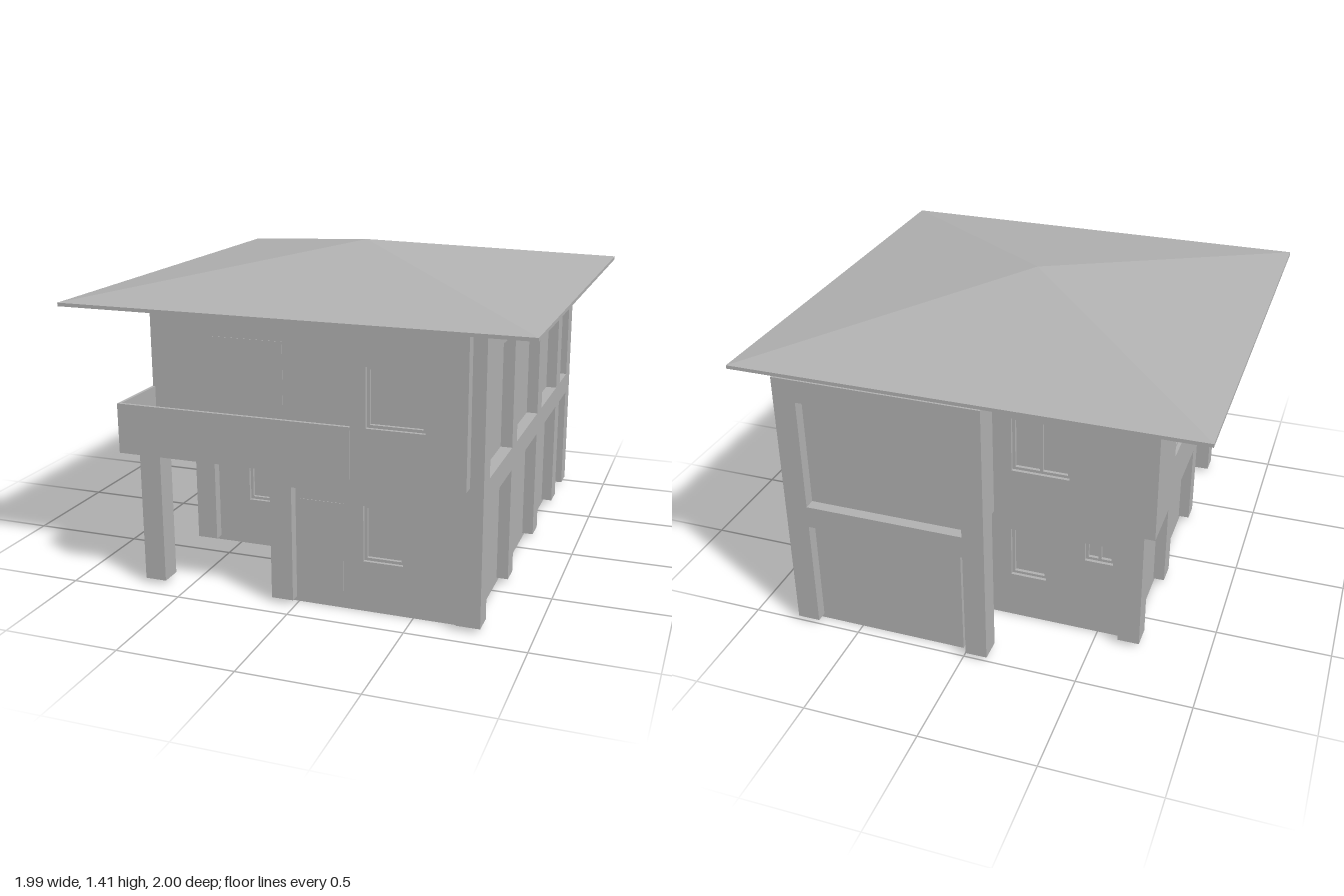
import * as THREE from 'three';

export function createModel() {
  const house = new THREE.Group();
  house.name = 'house';
  const plaster = new THREE.MeshStandardMaterial({ color: 0xb0b0b0 });
  plaster.name = 'grey plaster';

  function add(geometry, name, parent = house) {
    const mesh = new THREE.Mesh(geometry, plaster);
    mesh.name = name;
    parent.add(mesh);
    return mesh;
  }

  // Box given by its limits on each axis
  function box(name, x0, x1, y0, y1, z0, z1, parent = house) {
    const mesh = add(new THREE.BoxGeometry(x1 - x0, y1 - y0, z1 - z0), name, parent);
    mesh.position.set((x0 + x1) / 2, (y0 + y1) / 2, (z0 + z1) / 2);
    return mesh;
  }

  // Outer wall with recessed windows; u runs along the wall, outer face at local z = 0
  const T = 0.03;
  function wall(name, u0, u1, y0, y1, windows) {
    const group = new THREE.Group();
    group.name = name;
    const rect = (Type, a, b, c, d) => new Type([
      new THREE.Vector2(a, c), new THREE.Vector2(b, c), new THREE.Vector2(b, d), new THREE.Vector2(a, d)]);
    const shape = rect(THREE.Shape, u0, u1, y0, y1);
    for (const [a, b, c, d, panes = 1] of windows) {
      shape.holes.push(rect(THREE.Path, a, b, c, d));
      const f = 0.012;
      // Sash: outer frame and mullions
      box('windowSill', a, b, c, c + f, -T, -0.015, group);
      box('windowHead', a, b, d - f, d, -T, -0.015, group);
      for (let i = 0; i <= panes; i++) {
        const u = a + f / 2 + (b - a - f) * i / panes;
        box('windowBar', u - f / 2, u + f / 2, c, d, -T, -0.015, group);
      }
    }
    const geometry = new THREE.ExtrudeGeometry(shape, { depth: T, bevelEnabled: false });
    geometry.translate(0, 0, -T);
    add(geometry, 'wallPanel', group);
    house.add(group);
    return group;
  }
  const frontWall = (name, z, x0, x1, y0, y1, windows) => {
    wall(name, x0, x1, y0, y1, windows).position.z = z;
  };
  const backWall = (name, z, x0, x1, y0, y1, windows) => {
    const g = wall(name, -x1, -x0, y0, y1, windows.map(([a, b, ...r]) => [-b, -a, ...r]));
    g.rotation.y = Math.PI;
    g.position.z = z;
  };
  const leftWall = (name, x, z0, z1, y0, y1, windows) => {
    const g = wall(name, z0, z1, y0, y1, windows);
    g.rotation.y = -Math.PI / 2;
    g.position.x = x;
  };

  const F = 0.605, E = 1.22, TOP = 1.235;

  // Ground floor rooms
  box('groundSideRoom', -0.65 + T, 0.02, 0, F, -0.66 + T, 0.365 - T);
  box('groundMainRoom', -0.055, 0.74, 0, F, -0.6, 0.865 - T);
  box('groundRearRoom', 0.02, 0.74, 0, F, -0.95, -0.5);
  frontWall('groundFrontWall', 0.865, -0.055, 0.74, 0, F, [[0.285, 0.455, 0.22, 0.46]]);
  frontWall('porchWall', 0.365, -0.65, -0.055, 0, F, [[-0.45, -0.2, 0.22, 0.46, 2]]);
  backWall('groundBackWall', -0.66, -0.65, 0.02, 0, F,
    [[-0.26, -0.1, 0.22, 0.46], [-0.56, -0.435, 0.37, 0.46, 2]]);
  leftWall('groundLeftWall', -0.65, -0.66, 0.365, 0, F, [[-0.04, 0.11, 0.22, 0.46]]);
  box('frontDoor', 0.01, 0.2, 0.01, 0.46, 0.86, 0.867);

  // Upper floor rooms
  box('upperSideRoom', -0.755 + T, -0.05, F, TOP, -0.755 + T, 0.675);
  box('upperMainRoom', -0.05, 0.74, F, TOP, -0.755, 0.79);
  box('upperRearRoom', -0.06 + T, 0.74, F, TOP, -0.95, -0.7);
  box('upperFrontRoom', 0.265, 0.735, F, TOP, 0.7, 0.965 - T);
  frontWall('upperFrontWall', 0.965, 0.265, 0.735, F, TOP, [[0.33, 0.57, 0.82, 1.065]]);
  backWall('upperBackWall', -0.755, -0.755, -0.05, F, TOP, [[-0.39, -0.14, 0.82, 1.065, 2]]);
  leftWall('upperLeftWall', -0.755, -0.755, 0.675, F, TOP,
    [[-0.44, -0.3, 0.82, 1.065], [-0.05, 0.11, 0.82, 1.065], [0.455, 0.62, 0.82, 1.065]]);
  leftWall('rearReturnWall', -0.06, -0.95, -0.74, F, TOP, [[-0.85, -0.79, 0.98, 1.08]]);
  box('balconyDoor', -0.46, -0.14, 0.63, 1.065, 0.67, 0.677);

  // Balcony floor and parapet
  box('balconyFloor', -0.755, 0.265, F, 0.625, 0.6, 0.965);
  box('balconyParapetFront', -0.76, 0.265, F, 0.82, 0.955, 0.97);
  box('balconyParapetLeft', -0.76, -0.745, F, 0.82, 0.67, 0.97);

  // Structural frame: rows of columns front to back
  const rows = [[0.815, 0.91], [0.32, 0.41], [-0.23, -0.13], [-0.71, -0.61], [-1, -0.9]];
  rows.forEach(([z0, z1], i) => {
    box('rightColumn', 0.69, 0.79, 0.02, E, z0, z1);
    if (i < 4) box('leftColumn', -0.7, -0.605, 0.02, F, z0, z1);
  });
  box('frontMiddleColumn', -0.105, -0.01, 0.02, F, 0.815, 0.91);
  box('porchMiddleColumn', -0.105, -0.01, 0.02, F, 0.32, 0.41);
  box('rearMiddleColumn', -0.105, -0.01, 0.02, E, -1, -0.9);

  // Beams around the frame
  for (const [y0, y1] of [[0.52, 0.62], [1.12, E]]) {
    box('rightBeam', 0.72, 0.79, y0, y1, -1, 0.91);
    box('rearBeam', -0.105, 0.79, y0, y1, -1, -0.93);
  }
  box('frontBeam', -0.105, 0.79, 0.52, F, 0.83, 0.91);
  box('porchBeam', -0.7, -0.055, 0.52, F, 0.33, 0.41);
  box('leftBeam', -0.7, -0.63, 0.52, F, -0.71, 0.41);
  box('rearRoomBeam', -0.7, 0.02, 0.52, F, -0.71, -0.63);

  // Hipped roof shell: square sections from the apex down the slope, round the eave and back up inside
  const profile = [[0, 1.41], [1, 1.235], [1, 1.22], [0, 1.395]]
    .map(([r, y]) => new THREE.Vector2(r * Math.SQRT2, y)).reverse();
  let roof = new THREE.LatheGeometry(profile, 4, Math.PI / 4).toNonIndexed();
  roof.computeVertexNormals();
  roof.scale(0.995, 1, 0.995);
  roof.translate(0, 0, 0.004);
  add(roof, 'roof');

  return house;
}
